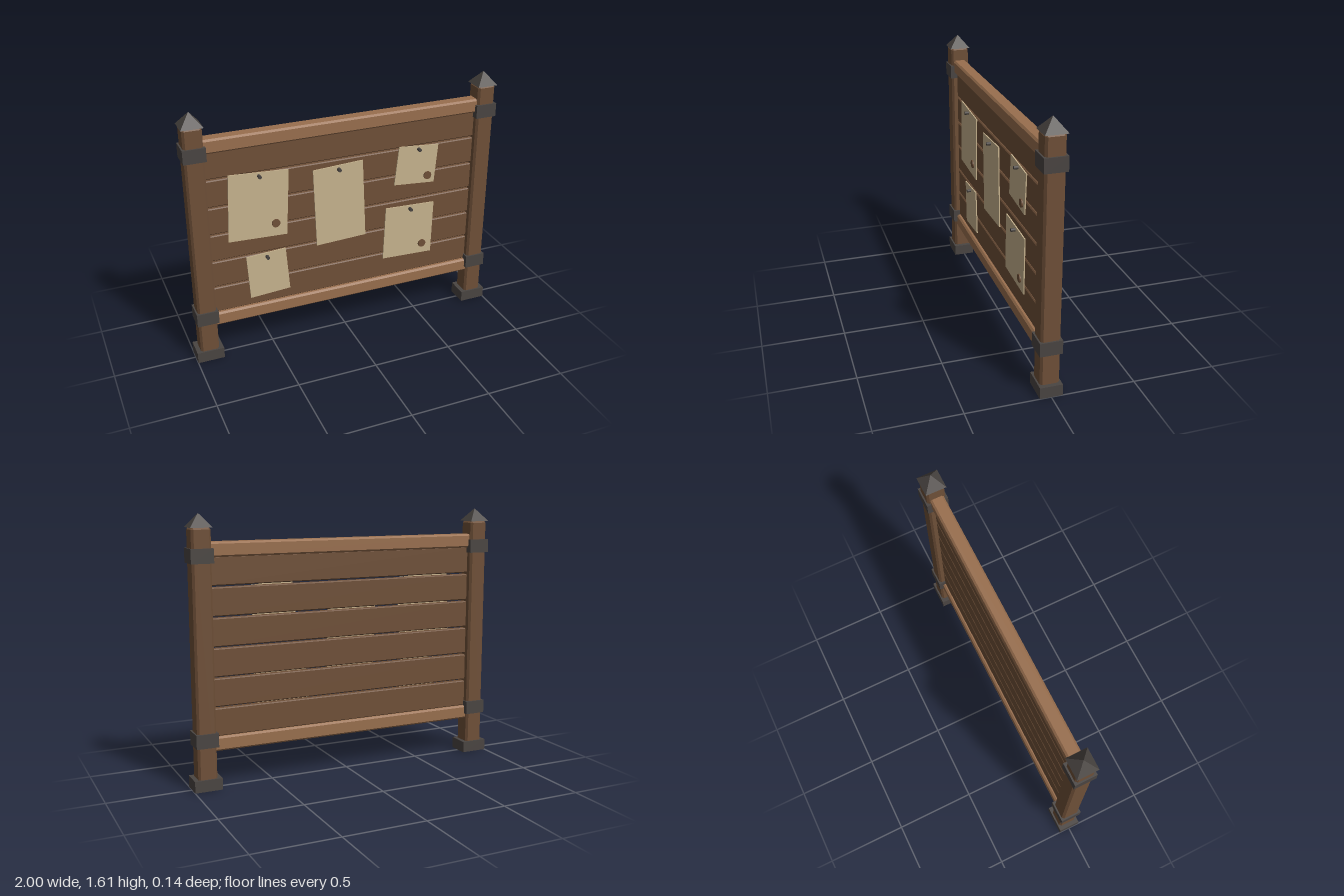
import * as THREE from 'three';
import { ConvexGeometry } from 'three/addons/geometries/ConvexGeometry.js';

const material = (name, color) => {
  const m = new THREE.MeshStandardMaterial({ color });
  m.name = name;
  return m;
};

// Box with every edge cut at 45 degrees
function chamferBox(w, h, d, c) {
  const points = [];
  for (const sx of [-1, 1]) for (const sy of [-1, 1]) for (const sz of [-1, 1]) {
    const x = w / 2, y = h / 2, z = d / 2;
    points.push(
      new THREE.Vector3(sx * x, sy * (y - c), sz * (z - c)),
      new THREE.Vector3(sx * (x - c), sy * y, sz * (z - c)),
      new THREE.Vector3(sx * (x - c), sy * (y - c), sz * z));
  }
  return new ConvexGeometry(points);
}

export function createModel() {
  const wood = material('dark wood', 0x6f5038);
  const lightWood = material('light wood', 0x996f4e);
  const iron = material('dark iron', 0x4a4542);
  const parchment = material('parchment', 0xc8b48f);

  const model = new THREE.Group();
  model.name = 'noticeBoard';
  const add = (parent, name, geometry, mat, x, y, z) => {
    const mesh = new THREE.Mesh(geometry, mat);
    mesh.name = name;
    mesh.position.set(x, y, z);
    parent.add(mesh);
    return mesh;
  };

  // Posts with iron feet, bands and pyramid caps
  const postGeometry = chamferBox(0.115, 1.515, 0.115, 0.013);
  const footGeometry = new THREE.BoxGeometry(0.167, 0.07, 0.135);
  const bandGeometry = new THREE.BoxGeometry(0.134, 0.084, 0.134);
  const capGeometry = new THREE.ConeGeometry(0.065 * Math.SQRT2, 0.08, 4).toNonIndexed();
  capGeometry.rotateY(Math.PI / 4);
  capGeometry.computeVertexNormals();
  for (const [side, x] of [['left', 0.9165], ['right', -0.9165]]) {
    const post = new THREE.Group();
    post.name = side + 'PostAssembly';
    post.position.x = x;
    model.add(post);
    add(post, 'post', postGeometry, wood, 0, 0.7725, 0);
    add(post, 'foot', footGeometry, iron, 0, 0.035, 0);
    add(post, 'lowerBand', bandGeometry, iron, 0, 0.302, 0);
    add(post, 'upperBand', bandGeometry, iron, 0, 1.37, 0);
    add(post, 'cap', capGeometry, iron, 0, 1.568, 0);
  }

  // Top and bottom rails
  const railGeometry = chamferBox(1.75, 0.087, 0.084, 0.011);
  add(model, 'topRail', railGeometry, lightWood, 0, 1.403, 0.002);
  add(model, 'bottomRail', railGeometry, lightWood, 0, 0.27, 0.002);

  // Six planks with narrow gaps
  const plankGeometry = chamferBox(1.72, 0.167, 0.044, 0.006);
  for (let i = 0; i < 6; i++) add(model, 'plank', plankGeometry, wood, 0, 0.838 + (i - 2.5) * 0.177, 0);

  // Notices: corners, pin position and optional wax seal position
  const notices = [
    { corners: [[-0.75, 0.778], [-0.387, 0.762], [-0.365, 1.185], [-0.729, 1.206]], pin: [-0.547, 1.174], seal: [-0.456, 0.85] },
    { corners: [[-0.197, 0.639], [0.127, 0.652], [0.105, 1.163], [-0.215, 1.147]], pin: [-0.053, 1.131] },
    { corners: [[0.319, 0.955], [0.592, 0.933], [0.613, 1.185], [0.346, 1.206]], pin: [0.477, 1.174], seal: [0.544, 0.987] },
    { corners: [[-0.633, 0.364], [-0.379, 0.38], [-0.4, 0.666], [-0.649, 0.652]], pin: [-0.52, 0.634] },
    { corners: [[0.252, 0.446], [0.592, 0.433], [0.6, 0.789], [0.266, 0.802]], pin: [0.432, 0.773], seal: [0.525, 0.505] },
  ];
  const pinGeometry = new THREE.CylinderGeometry(0.011, 0.011, 0.026, 8).rotateX(Math.PI / 2);
  const sealGeometry = new THREE.CylinderGeometry(0.026, 0.026, 0.009, 14).rotateX(Math.PI / 2);
  for (const { corners, pin, seal } of notices) {
    const notice = new THREE.Group();
    notice.name = 'notice';
    model.add(notice);
    const outline = new THREE.Shape(corners.map(([x, y]) => new THREE.Vector2(x, y)));
    const sheet = new THREE.ExtrudeGeometry(outline, { depth: 0.007, bevelEnabled: false });
    add(notice, 'paper', sheet, parchment, 0, 0, 0.024);
    add(notice, 'pin', pinGeometry, iron, ...pin, 0.044);
    if (seal) add(notice, 'waxSeal', sealGeometry, wood, ...seal, 0.0345);
  }

  return model;
}
